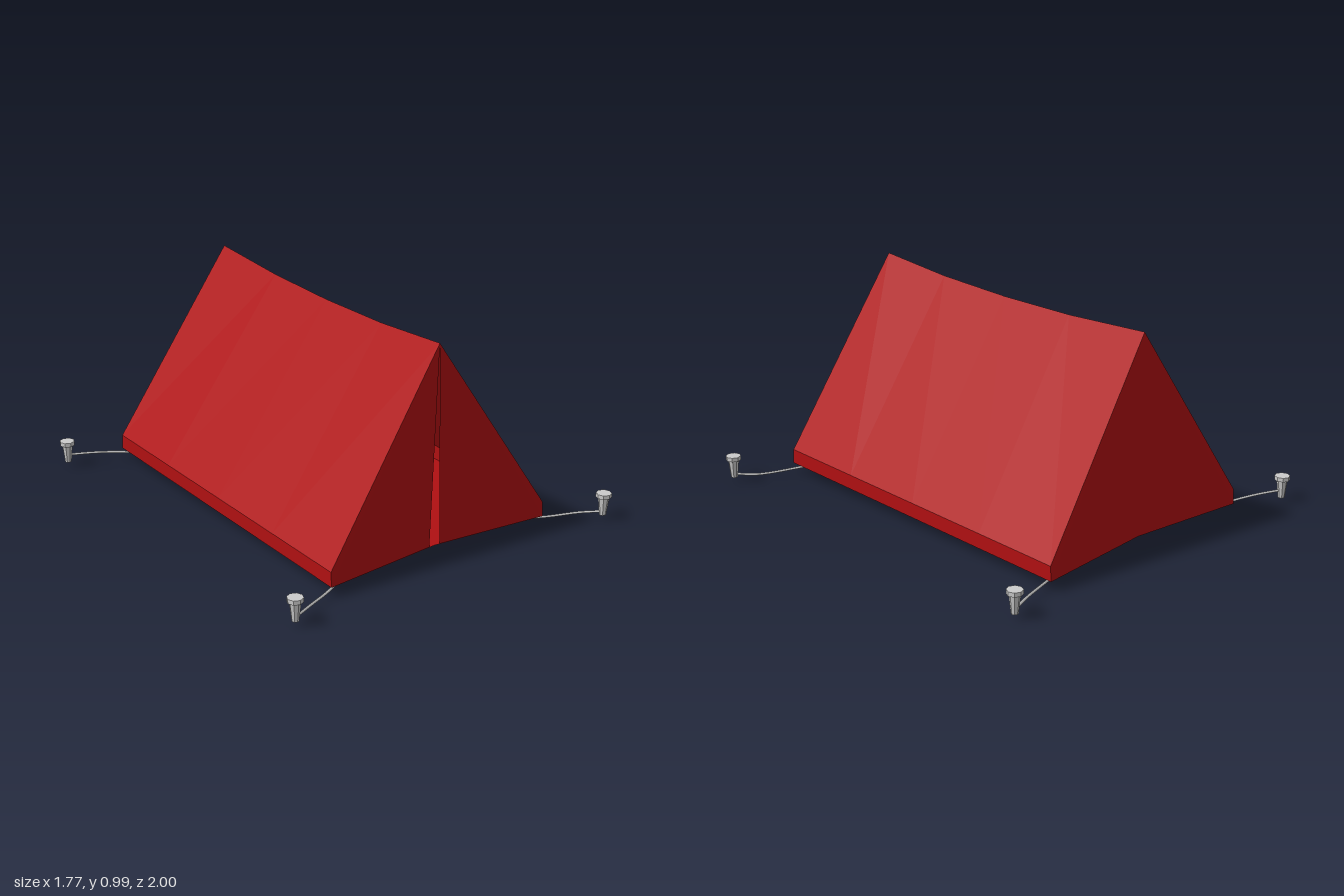
import * as THREE from 'three';

const fabric = new THREE.MeshStandardMaterial({ color: 0xb01012, flatShading: true, side: THREE.DoubleSide });
const metal = new THREE.MeshStandardMaterial({ color: 0xcccccc, flatShading: true });
const cord = new THREE.MeshStandardMaterial({ color: 0xcccccc });

const CX = -0.005, HALF = 0.583;

// Sheet of cloth lofted between two rows of points
function sheet(name, rowA, rowB) {
  const pos = [];
  for (let i = 0; i < rowA.length - 1; i++) {
    const [a, b, c, d] = [rowA[i], rowA[i + 1], rowB[i + 1], rowB[i]];
    pos.push(...a, ...d, ...c, ...a, ...c, ...b);
  }
  const geo = new THREE.BufferGeometry();
  geo.setAttribute('position', new THREE.Float32BufferAttribute(pos, 3));
  geo.computeVertexNormals();
  const mesh = new THREE.Mesh(geo, fabric);
  mesh.name = name;
  return mesh;
}

// Tapered ground peg with a wide head
function peg(x, z) {
  const group = new THREE.Group();
  group.name = 'peg';
  const shaft = new THREE.Mesh(new THREE.CylinderGeometry(0.026, 0.016, 0.09, 8), metal);
  shaft.name = 'pegShaft';
  shaft.position.y = 0.069;
  const head = new THREE.Mesh(new THREE.CylinderGeometry(0.036, 0.036, 0.02, 8), metal);
  head.name = 'pegHead';
  head.position.y = 0.122;
  group.add(shaft, head);
  group.position.set(x, 0, z);
  return group;
}

function rope(points) {
  const curve = new THREE.CatmullRomCurve3(points.map(p => new THREE.Vector3(...p)));
  const mesh = new THREE.Mesh(new THREE.TubeGeometry(curve, 16, 0.006, 6), cord);
  mesh.name = 'guyRope';
  return mesh;
}

export function createModel() {
  const model = new THREE.Group();
  model.name = 'tent';

  // Sagging ridge, shared by both roof slopes
  const ridge = [[0.813, 0.992], [0.41, 0.964], [0, 0.956], [-0.41, 0.964], [-0.855, 0.992]]
    .map(([z, y]) => [CX, y, z]);
  const backFoot = [CX, 0.055, -0.852];
  const frontFoot = [CX, 0.055, 0.81];

  for (const s of [1, -1]) {
    const side = s > 0 ? 'left' : 'right';
    const x = CX + s * HALF;
    const along = (y, front, back) =>
      ridge.map((p, i) => [x, y, THREE.MathUtils.lerp(front, back, i / 4)]);
    const eave = along(0.12, 0.854, -0.898);
    const hem = along(0.05, 0.858, -0.902);
    const top = ridge[0], backTop = ridge[4];

    model.add(
      sheet(side + 'Roof', ridge, eave),
      sheet(side + 'Skirt', eave, hem),
      sheet(side + 'Floor', [frontFoot, backFoot], [hem[0], hem[4]]),
      // Door flap leaves a narrow slit open up to the peak
      sheet(side + 'DoorFlap', [top, [CX + s * 0.028, 0.055, 0.81]], [eave[0], hem[0]]),
      sheet(side + 'BackWall', [backTop, backFoot], [eave[4], hem[4]])
    );
  }

  // Guy ropes run from each peg to under the floor
  const ropes = [
    [[0.85, 0.04, 0.963], [0.77, 0.032, 0.9], [0.58, 0.033, 0.83], [0.39, 0.056, 0.74]],
    [[-0.84, 0.04, 0.96], [-0.72, 0.032, 0.9], [-0.58, 0.033, 0.84], [-0.38, 0.056, 0.735]],
    [[0.845, 0.04, -0.966], [0.74, 0.038, -0.92], [0.58, 0.035, -0.868], [0.385, 0.024, -0.8]],
    [[-0.853, 0.06, -0.966], [-0.72, 0.057, -0.913], [-0.58, 0.042, -0.858], [-0.43, 0.007, -0.795]],
  ];
  for (const points of ropes) {
    model.add(rope(points), peg(points[0][0], points[0][2]));
  }
  return model;
}
